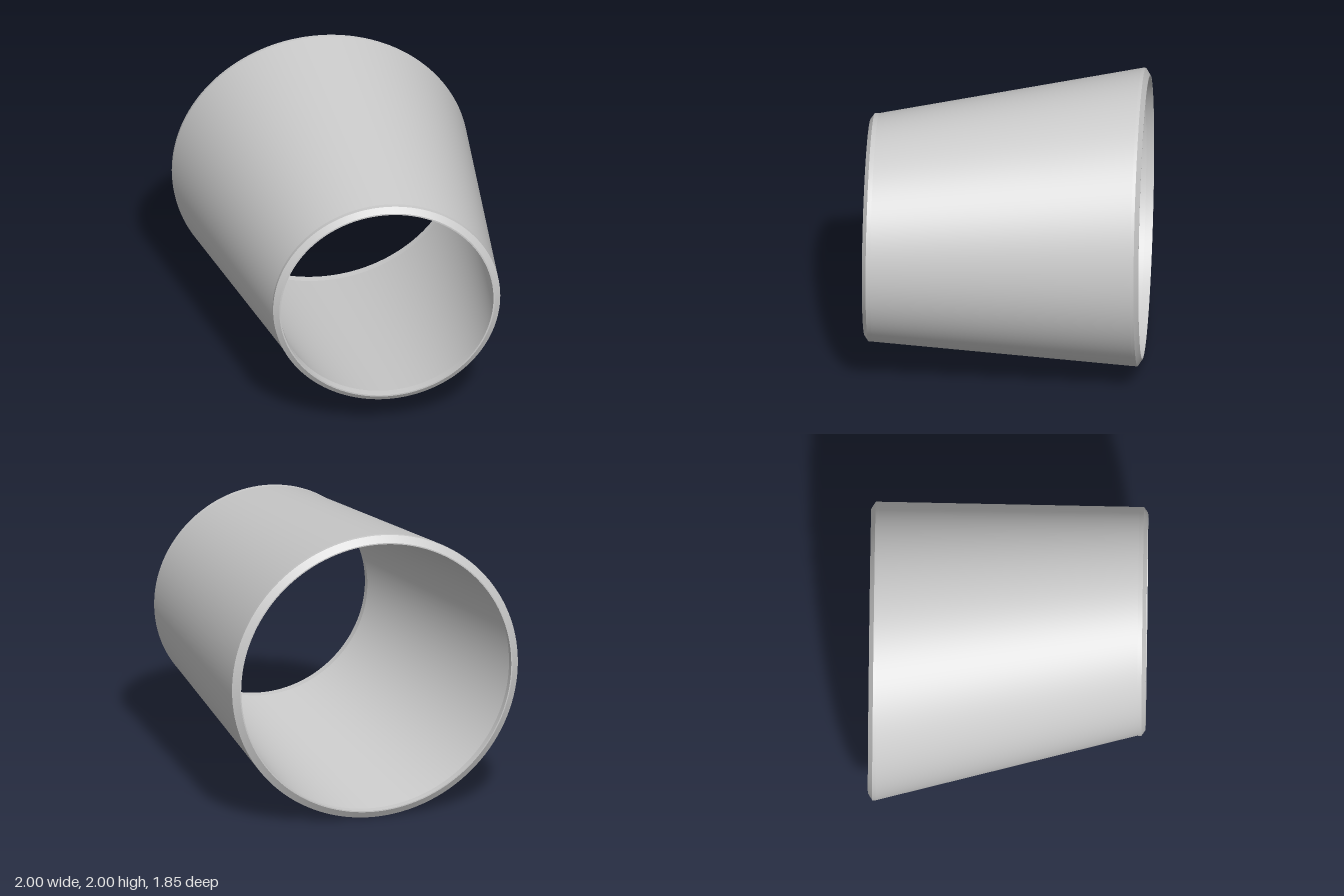
import * as THREE from 'three';

const SEGMENTS = 128;

// Closed wall section: [z, radius, centre x], outside back to front, then inside front to back
const BACK_X = 0, FRONT_X = 0.234;
const SECTION = [
  [-0.897, 1.0, BACK_X],
  [-0.875, 1.0, BACK_X],
  [0.87, 0.766, FRONT_X],
  [0.9, 0.766, FRONT_X],
  [0.927, 0.727, FRONT_X],
  [0.927, 0.717, FRONT_X],
  [0.87, 0.717, FRONT_X],
  [-0.875, 0.945, BACK_X],
  [-0.927, 0.945, BACK_X],
  [-0.927, 0.953, BACK_X],
];

// Smooth band between two rings; separate bands keep the rims crisp
function band(ringA, ringB) {
  const positions = [], index = [];
  for (const [z, r, cx] of [ringA, ringB]) {
    for (let j = 0; j < SEGMENTS; j++) {
      const t = (j / SEGMENTS) * Math.PI * 2;
      positions.push(cx + r * Math.cos(t), 1 + r * Math.sin(t), z);
    }
  }
  for (let j = 0; j < SEGMENTS; j++) {
    const k = (j + 1) % SEGMENTS;
    index.push(j, k, SEGMENTS + j, k, SEGMENTS + k, SEGMENTS + j);
  }
  const geometry = new THREE.BufferGeometry();
  geometry.setAttribute('position', new THREE.Float32BufferAttribute(positions, 3));
  geometry.setIndex(index);
  geometry.computeVertexNormals();
  return geometry;
}

export function createModel() {
  const group = new THREE.Group();
  group.name = 'eccentricReducer';
  const material = new THREE.MeshStandardMaterial({ color: 0xcccccc });
  const names = [
    'backOuterCollar', 'outerWall', 'frontOuterCollar', 'frontBevel', 'frontRim',
    'frontInnerCollar', 'innerWall', 'backInnerCollar', 'backRim', 'backBevel',
  ];
  names.forEach((name, i) => {
    const mesh = new THREE.Mesh(band(SECTION[i], SECTION[(i + 1) % SECTION.length]), material);
    mesh.name = name;
    group.add(mesh);
  });
  return group;
}
